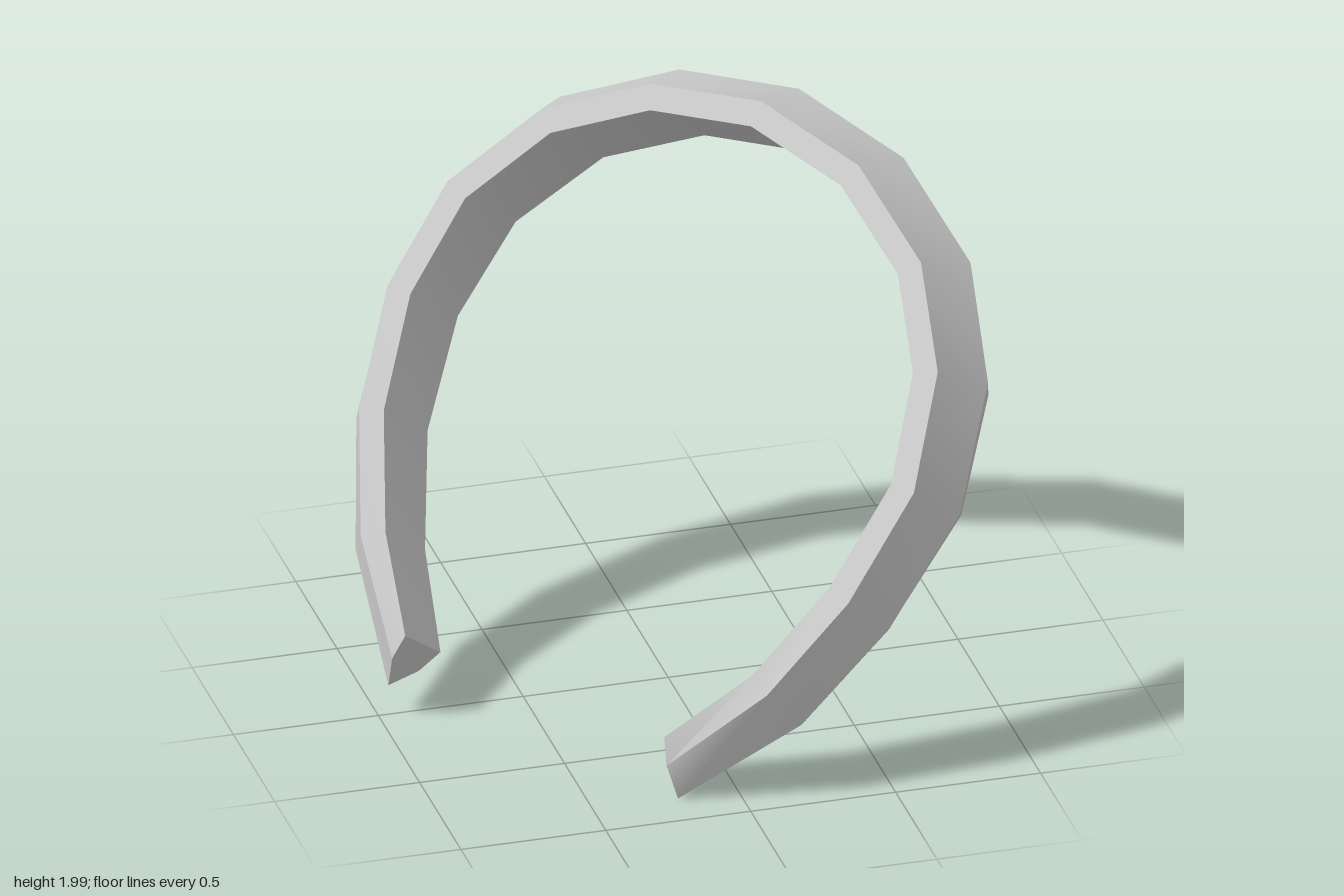
import * as THREE from 'three';
import { toCreasedNormals } from 'three/addons/utils/BufferGeometryUtils.js';

const vec = (p) => new THREE.Vector3(...p);

export function createModel() {
  // upper inner edge of the band, from one tip over the crown to the other
  const path = [
    [-0.93, 0.35, 0.08], [-0.93, 0.62, -0.16], [-0.87, 0.95, -0.39],
    [-0.73, 1.28, -0.56], [-0.52, 1.57, -0.635], [-0.24, 1.80, -0.585],
    [0.06, 1.92, -0.43], [0.34, 1.94, -0.19], [0.56, 1.845, 0.125],
    [0.67, 1.65, 0.43], [0.655, 1.40, 0.665], [0.53, 1.09, 0.84],
    [0.30, 0.765, 0.90], [0.03, 0.48, 0.91], [-0.25, 0.25, 0.83],
  ].map(vec);
  const last = path.length - 1;
  const axis = vec([-1, 1, 1]).normalize(); // across the band's width
  // the tips are cut at a slant
  const tipTangents = { 0: vec([-0.457, 0.36, -0.816]), [last]: vec([-0.78, -0.188, -0.59]) };

  // five-sided section: flat inside, low sides, ridge along the outside
  const rings = path.map((p, i) => {
    const tangent = tipTangents[i] ?? path[i + 1].clone().sub(path[i - 1]);
    const out = axis.clone().cross(tangent).normalize();
    const width = Math.sqrt(3) * (0.17 + 0.095 * Math.sin(Math.PI * i / last));
    const inset = i === 0 || i === last ? 0.035 : 0;
    return [
      [0, 0], [inset, 0.09], [width / 2, 0.18], [width - inset, 0.09], [width, 0],
    ].map(([w, t]) => p.clone().addScaledVector(axis, -w).addScaledVector(out, t));
  });

  const n = rings[0].length;
  const index = [];
  for (let i = 0; i < last; i++) {
    for (let j = 0; j < n; j++) {
      const k = (j + 1) % n;
      const a = i * n + j, b = i * n + k;
      index.push(a, a + n, b + n, a, b + n, b);
    }
  }
  // end caps
  for (let j = 1; j < n - 1; j++) {
    index.push(0, j, j + 1);
    index.push(last * n, last * n + j + 1, last * n + j);
  }

  const geometry = new THREE.BufferGeometry().setFromPoints(rings.flat());
  geometry.setIndex(index);
  const band = new THREE.Mesh(
    toCreasedNormals(geometry, 0.6),
    new THREE.MeshStandardMaterial({ color: 0xcccccc }),
  );
  band.name = 'headband';

  const group = new THREE.Group();
  group.name = 'hairBand';
  group.add(band);
  return group;
}
